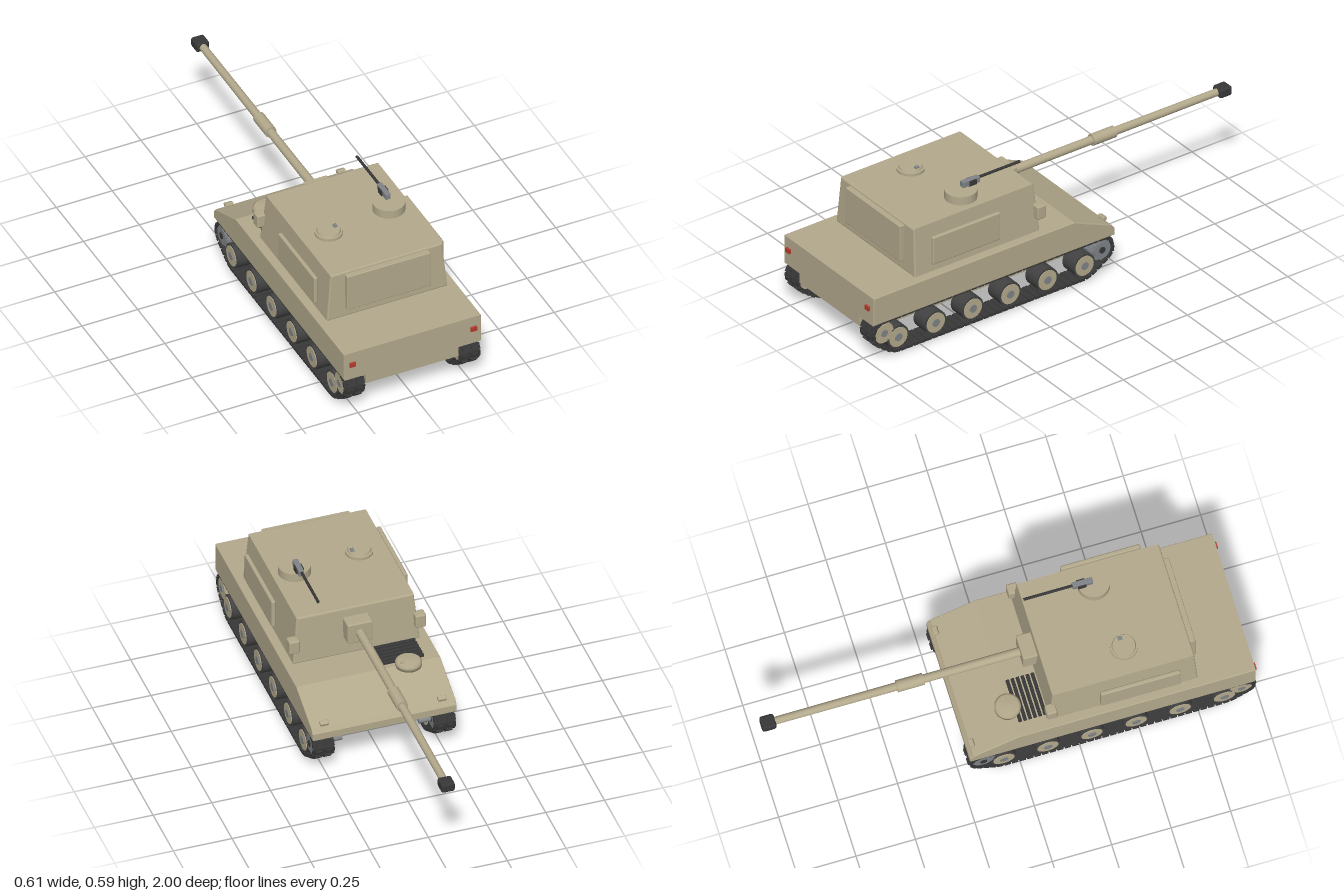
import * as THREE from 'three';
import { mergeGeometries } from 'three/addons/utils/BufferGeometryUtils.js';
import { RoundedBoxGeometry } from 'three/addons/geometries/RoundedBoxGeometry.js';

const paint = (color) => new THREE.MeshStandardMaterial({ color });

export function createModel() {
  const model = new THREE.Group();
  const sand = paint(0xb3a98c), dark = paint(0x383838), rubber = paint(0x424242);
  const steel = paint(0x808488), red = paint(0xb83a2c);

  const add = (name, geometry, material, x = 0, y = 0, z = 0, parent = model) => {
    const mesh = new THREE.Mesh(geometry, material);
    mesh.name = name;
    mesh.position.set(x, y, z);
    parent.add(mesh);
    return mesh;
  };
  const box = (w, h, d, r = 0.004) => new RoundedBoxGeometry(w, h, d, 2, r);
  const rodX = (r, w, n = 32) => new THREE.CylinderGeometry(r, r, w, n).rotateZ(Math.PI / 2);
  const rodZ = (r1, r2, l, n = 24) => new THREE.CylinderGeometry(r1, r2, l, n).rotateX(Math.PI / 2);
  // Bevelled extrusion, outline and depth being the final outer sizes
  const extrude = (points, depth, b) => new THREE.ExtrudeGeometry(
    new THREE.Shape(points.map(([u, v]) => new THREE.Vector2(u, v))),
    { depth: depth - 2 * b, bevelSize: b, bevelOffset: -b, bevelThickness: b, bevelSegments: 2 },
  ).translate(0, 0, b - depth / 2);
  // Profile in (z, y), extruded across x
  const across = (points, width, b = 0.004) => extrude(points, width, b).rotateY(-Math.PI / 2);

  // Hull
  add('upperHull', across([[0.99, 0.174], [0.99, 0.304], [-0.01, 0.304], [-0.195, 0.226],
    [-0.212, 0.205], [-0.212, 0.174]], 0.614), sand);
  add('lowerHull', across([[0.986, 0.19], [0.986, 0.126], [0.9, 0.086], [-0.04, 0.086],
    [-0.2, 0.17], [-0.2, 0.19]], 0.414, 0.001), sand);
  for (const s of [-1, 1]) {
    add('tailLamp', new THREE.BoxGeometry(0.026, 0.019, 0.014), red, s * 0.271, 0.248, 0.993);
    add('headLamp', box(0.036, 0.016, 0.022), sand, s * 0.251, 0.238, -0.19).rotation.x = -0.4;
  }

  // Driver hatch and engine louvres
  const hatchProfile = [[0, -0.012], [0.054, -0.012], [0.054, 0.006], [0.045, 0.012], [0, 0.014]]
    .map(([r, y]) => new THREE.Vector2(r, y));
  const hatch = new THREE.Group();
  hatch.name = 'driverHatch';
  hatch.position.set(-0.17, 0.312, -0.013);
  model.add(hatch);
  add('hatchLid', new THREE.LatheGeometry(hatchProfile, 32), sand, 0, 0, 0, hatch);
  add('hatchHandle', box(0.016, 0.008, 0.016, 0.002), sand, 0.03, 0.014, -0.01, hatch);
  for (let i = 0; i < 6; i++) {
    add('louvre', box(0.186, 0.014, 0.014, 0.003), dark, -0.153, 0.308, 0.018 + i * 0.021);
  }

  // Turret: tapered in x by its outline, in z by moving the vertices
  const turretGeo = extrude([[-0.27, 0.302], [0.27, 0.302], [0.25, 0.518], [-0.25, 0.518]], 0.622, 0.006);
  const p = turretGeo.attributes.position;
  for (let i = 0; i < p.count; i++) {
    const t = (p.getY(i) - 0.302) / 0.216;
    p.setZ(i, p.getZ(i) * (1 - 0.04 * t) + 0.446 + 0.004 * t);
  }
  turretGeo.computeVertexNormals();
  add('turret', turretGeo, sand);
  add('rearPanel', box(0.374, 0.168, 0.03), sand, 0, 0.425, 0.757);
  for (const s of [-1, 1]) {
    add('sidePanel', box(0.018, 0.129, 0.336, 0.006), sand, s * 0.281, 0.408, 0.512);
    add('cornerBox', box(0.046, 0.062, 0.044, 0.007), sand, s * 0.269, 0.398, 0.139);
  }

  // Main gun
  const gunY = 0.43;
  add('mantlet', box(0.108, 0.095, 0.08, 0.006), sand, 0, gunY, 0.128);
  add('barrel', rodZ(0.019, 0.016, 1.07), sand, 0, gunY, -0.425);
  add('boreEvacuator', rodZ(0.025, 0.025, 0.112), sand, 0, gunY, -0.373);
  add('muzzleBrake', box(0.058, 0.042, 0.06, 0.01), dark, 0, gunY, -0.97);

  // Round roof hatch
  add('roofHatchRing', new THREE.CylinderGeometry(0.057, 0.057, 0.014, 32), sand, -0.132, 0.523, 0.487);
  add('roofHatchLid', new THREE.CylinderGeometry(0.046, 0.05, 0.01, 32), sand, -0.132, 0.534, 0.487);
  add('roofHatchHandle', box(0.015, 0.01, 0.018, 0.002), steel, -0.1, 0.541, 0.48);

  // Commander cupola with machine gun
  add('cupola', new THREE.CylinderGeometry(0.067, 0.067, 0.042, 32), sand, 0.157, 0.535, 0.447);
  add('gunMount', new THREE.CylinderGeometry(0.008, 0.008, 0.02, 12), dark, 0.157, 0.562, 0.405);
  add('receiver', box(0.023, 0.027, 0.085, 0.003), steel, 0.157, 0.574, 0.4);
  add('ammoBox', box(0.034, 0.024, 0.035, 0.003), dark, 0.157, 0.572, 0.395);
  add('machineGunBarrel', rodZ(0.006, 0.006, 0.215, 12), dark, 0.157, 0.579, 0.26);

  // Running gear
  const roadZ = [0.86, 0.674, 0.489, 0.303, 0.118, -0.067];
  // Belt circles [z, y, radius], counter-clockwise in the (z, y) plane
  const belt = [[-0.067, 0.075, 0.061], [0.86, 0.075, 0.061], [0.931, 0.119, 0.054], [-0.153, 0.119, 0.054]];
  const tangentAngles = belt.map(([z, y, r], i) => {
    const [z2, y2, r2] = belt[(i + 1) % 4];
    return Math.atan2(y2 - y, z2 - z) - Math.acos((r - r2) / Math.hypot(z2 - z, y2 - y));
  });
  const path = new THREE.Path();
  belt.forEach(([z, y, r], i) => path.absarc(z, y, r, tangentAngles[(i + 3) % 4], tangentAngles[i], false));
  path.closePath();
  const links = 80;
  const pts = path.getSpacedPoints(links);

  // One link: plate, joining strip and two outer pads, outward being -y
  const linkGeo = mergeGeometries([
    new THREE.BoxGeometry(0.026, 0.012, 0.092),
    new THREE.BoxGeometry(0.034, 0.006, 0.08),
    ...[-1, 1].map((s) => new THREE.BoxGeometry(0.016, 0.008, 0.026).translate(0, -0.009, s * 0.021)),
  ]);
  const trackParts = [];
  for (let i = 0; i < links; i++) {
    const a = pts[i], b = pts[(i + 1) % links];
    trackParts.push(linkGeo.clone().rotateZ(Math.atan2(b.y - a.y, b.x - a.x))
      .translate((a.x + b.x) / 2, (a.y + b.y) / 2, 0));
  }
  const trackGeo = mergeGeometries(trackParts).rotateY(-Math.PI / 2);

  const wheel = (name, side, z, y, r, disc, rim) => {
    const g = new THREE.Group();
    g.name = name;
    g.position.set(side * 0.258, y, z);
    model.add(g);
    add('tyre', rodX(r, 0.078), rim, 0, 0, 0, g);
    add('disc', rodX(r * 0.84, 0.084), disc, 0, 0, 0, g);
    add('hub', rodX(r * 0.33, 0.09, 20), disc === steel ? dark : steel, 0, 0, 0, g);
    add('axle', rodX(0.012, 0.07, 16), steel, -side * 0.06, 0, 0, g);
    return g;
  };
  for (const s of [-1, 1]) {
    add('track', trackGeo, dark, s * 0.258);
    roadZ.forEach((z) => wheel('roadWheel', s, z, 0.075, 0.053, sand, rubber));
    wheel('idlerWheel', s, 0.931, 0.119, 0.047, sand, sand);
    const sprocket = wheel('driveSprocket', s, -0.153, 0.119, 0.044, steel, steel);
    for (let i = 0; i < 12; i++) {
      const a = (i / 12) * Math.PI * 2;
      add('tooth', new THREE.BoxGeometry(0.07, 0.01, 0.012), steel,
        0, Math.cos(a) * 0.044, Math.sin(a) * 0.044, sprocket).rotation.x = a;
    }
  }
  return model;
}
